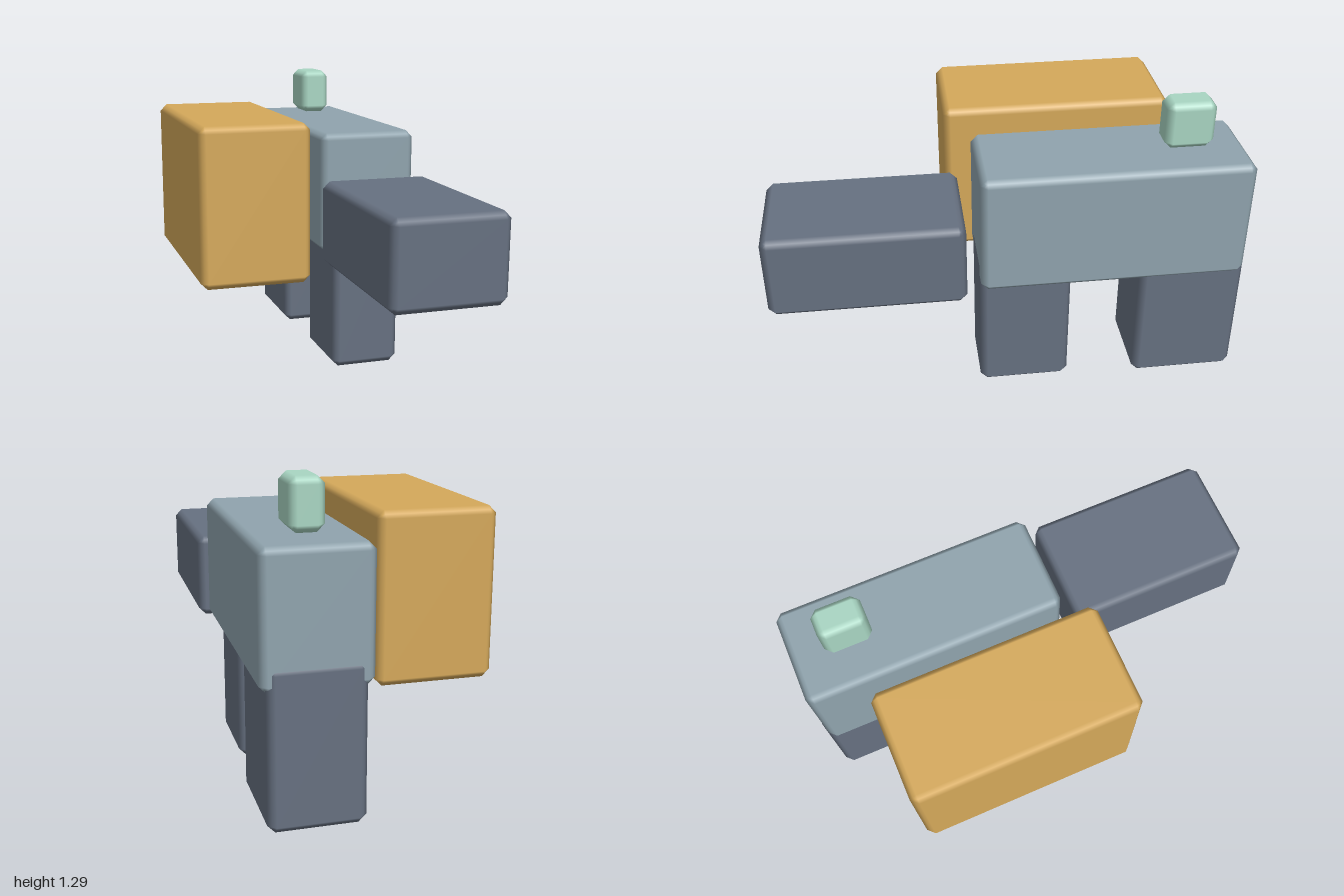
import * as THREE from 'three';

const BEVEL = 0.03;

// Box with 45 degree bevels and normals blended softly across them
function bevelledBox(w, h, d) {
  const geo = new THREE.BoxGeometry(1, 1, 1, 3, 3, 3);
  const pos = geo.attributes.position;
  const nor = geo.attributes.normal;
  const core = new THREE.Vector3(w, h, d).multiplyScalar(0.5).subScalar(BEVEL);
  const p = new THREE.Vector3();
  const n = new THREE.Vector3();
  for (let i = 0; i < pos.count; i++) {
    p.fromBufferAttribute(pos, i);
    // outward direction: only the outer rings of the grid lean outwards
    n.set(...p.toArray().map((v) => (Math.abs(v) > 0.4 ? Math.sign(v) : 0)));
    p.set(Math.sign(p.x), Math.sign(p.y), Math.sign(p.z)).multiply(core);
    p.addScaledVector(n, BEVEL / n.manhattanLength());
    pos.setXYZ(i, p.x, p.y, p.z);
    n.normalize();
    nor.setXYZ(i, n.x, n.y, n.z);
  }
  return geo;
}

function material(name, color) {
  const m = new THREE.MeshStandardMaterial({ color });
  m.name = name;
  return m;
}

export function createModel() {
  const group = new THREE.Group();
  group.name = 'blockCreature';

  const slate = material('slate', 0x667080);
  const blueGrey = material('blueGrey', 0x8fa3ad);
  const amber = material('amber', 0xd4a85a);
  const mint = material('mint', 0xa8d5c2);

  // name, material, lowest corner, highest corner
  const parts = [
    ['body', blueGrey, [0.05, 0.545, -0.99], [0.48, 1.075, 0.13]],
    ['head', slate, [0.025, 0.52, 0.19], [0.51, 0.885, 1.0]],
    ['frontLeg', slate, [0.11, 0.0, -0.26], [0.42, 0.65, 0.13]],
    ['rearLeg', slate, [0.08, 0.012, -1.0], [0.457, 0.65, -0.55]],
    ['sidePack', amber, [-0.51, 0.445, -0.75], [-0.028, 1.137, 0.235]],
    ['topKnob', mint, [0.198, 1.085, -0.843], [0.335, 1.29, -0.638]],
  ];

  for (const [name, mat, lo, hi] of parts) {
    const mesh = new THREE.Mesh(bevelledBox(...hi.map((v, i) => v - lo[i])), mat);
    mesh.name = name;
    mesh.position.set(...hi.map((v, i) => (v + lo[i]) / 2));
    group.add(mesh);
  }
  return group;
}
